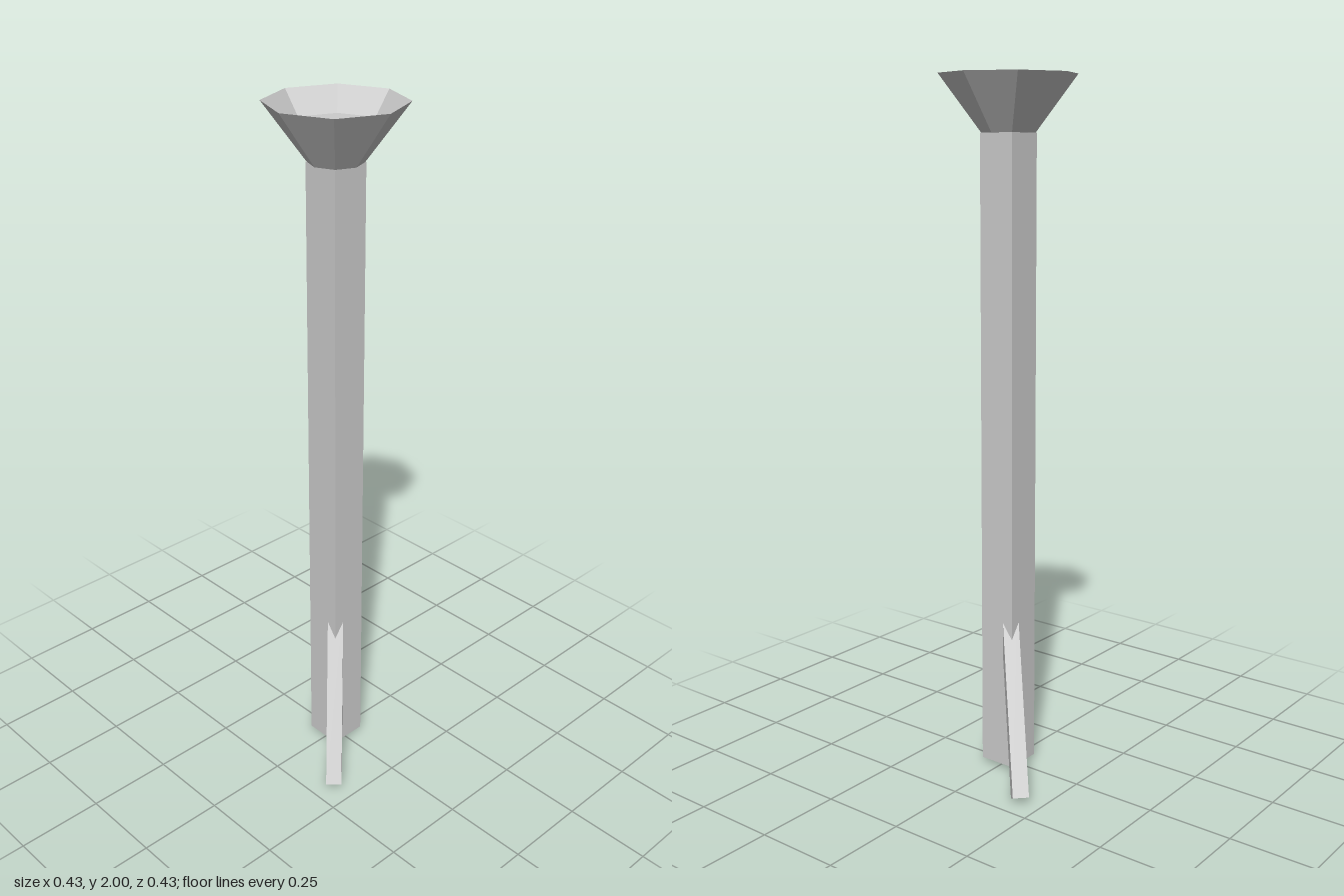
import * as THREE from 'three';

export function createModel() {
  const model = new THREE.Group();
  const grey = new THREE.MeshStandardMaterial({
    name: 'grey', color: 0xcccccc, flatShading: true, side: THREE.DoubleSide,
  });
  const add = (name, geometry, parent = model) => {
    const mesh = new THREE.Mesh(geometry, grey);
    mesh.name = name;
    parent.add(mesh);
    return mesh;
  };

  // square post
  const bottom = 0.015, bowlBase = 1.845;
  add('post', new THREE.BoxGeometry(0.11, bowlBase - bottom, 0.11))
    .position.y = (bottom + bowlBase) / 2;

  // thin-walled octagonal bowl with a raised floor
  const bowl = new THREE.Group();
  bowl.name = 'bowl';
  model.add(bowl);
  const height = 2 - bowlBase;
  add('bowlWall', new THREE.CylinderGeometry(0.191, 0.075, height, 8, 1, true), bowl)
    .position.y = bowlBase + height / 2;
  add('bowlFloor', new THREE.CircleGeometry(0.142, 8).rotateX(-Math.PI / 2), bowl)
    .position.y = 1.935;
  add('bowlUnderside', new THREE.CircleGeometry(0.075, 8).rotateX(Math.PI / 2), bowl)
    .position.y = bowlBase;

  // two slanted braces on opposite corners of the post
  const tilt = THREE.MathUtils.degToRad(27);
  for (const [name, turn] of [['backLeftBrace', 0], ['frontRightBrace', Math.PI]]) {
    const brace = new THREE.Group();
    brace.name = name;
    brace.rotation.y = Math.PI / 4 + turn;
    model.add(brace);
    const bar = add(name + 'Bar', new THREE.BoxGeometry(0.046, 0.55, 0.046), brace);
    bar.rotation.z = tilt;
    bar.position.set(0.1325, 0.2555, 0);
  }
  return model;
}
